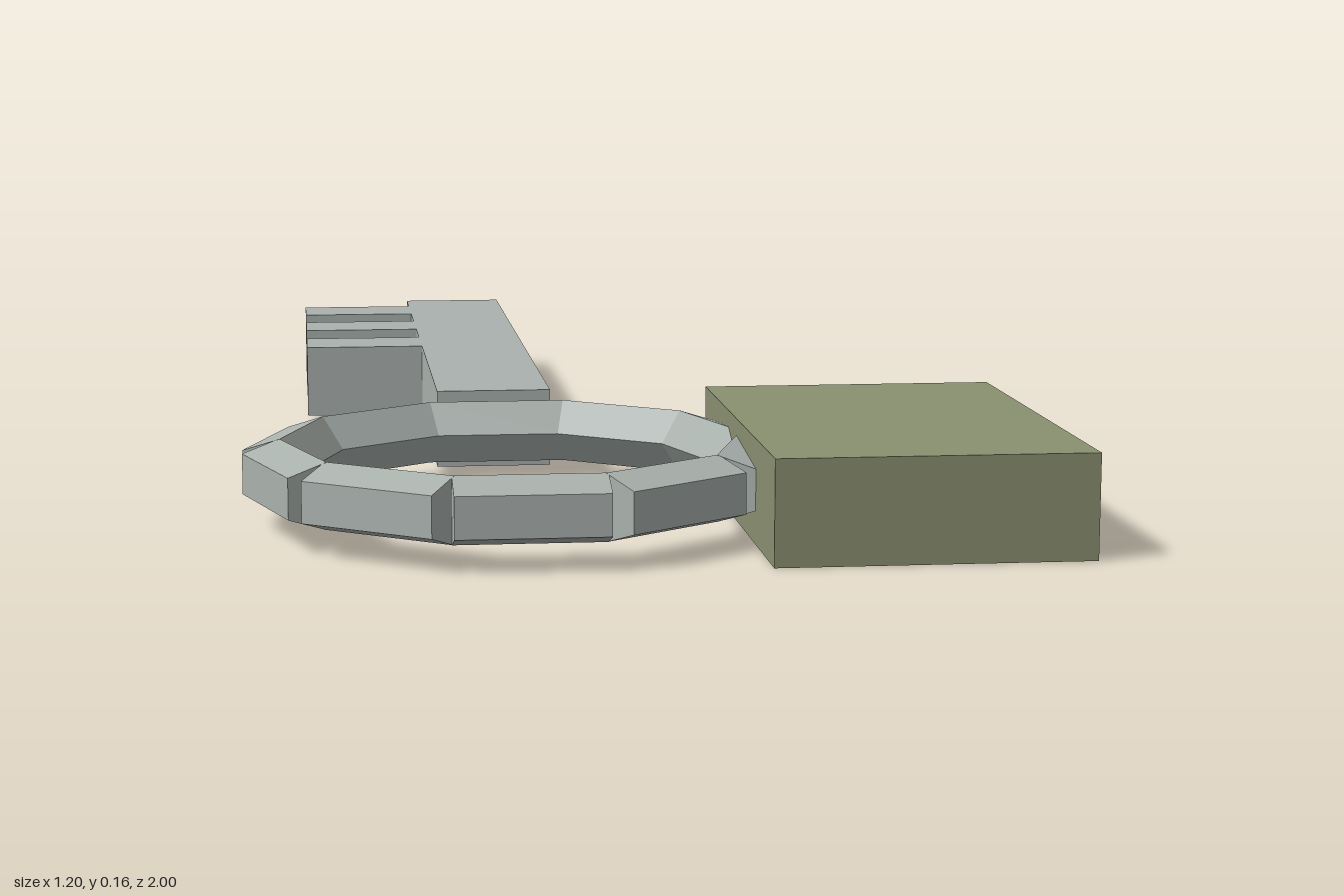
import * as THREE from 'three';

export function createModel() {
  const model = new THREE.Group();
  model.name = 'keyWithFob';
  const metal = new THREE.MeshStandardMaterial({ color: 0xaab2ae, flatShading: true });
  const olive = new THREE.MeshStandardMaterial({ color: 0x8a9070, flatShading: true });

  // Box given by its extents on each axis
  function block(name, material, [x0, x1], [y0, y1], [z0, z1], parent = model) {
    const mesh = new THREE.Mesh(new THREE.BoxGeometry(x1 - x0, y1 - y0, z1 - z0), material);
    mesh.position.set((x0 + x1) / 2, (y0 + y1) / 2, (z0 + z1) / 2);
    mesh.name = name;
    parent.add(mesh);
  }

  // Key: shaft and three teeth
  const key = new THREE.Group();
  key.name = 'key';
  model.add(key);
  const keyY = [0.017, 0.142];
  block('shaft', metal, [-0.295, -0.11], keyY, [-1, 0.245], key);
  for (const z of [-0.845, -0.607, -0.367]) {
    block('tooth', metal, [-0.503, -0.295], keyY, [z - 0.062, z + 0.062], key);
  }

  // Ring: ten straight five-sided rods, each with an edge pointing inwards
  const ring = new THREE.Group();
  ring.name = 'ring';
  ring.position.set(-0.2, 0.08, 0.61);
  const rod = new THREE.CylinderGeometry(0.052, 0.052, 0.22, 5);
  rod.rotateZ(-Math.PI / 2);
  rod.translate(0, 0, -0.348);
  for (let i = 0; i < 10; i++) {
    const link = new THREE.Mesh(rod, metal);
    link.rotation.y = (i * Math.PI) / 5;
    link.name = 'ringSegment';
    ring.add(link);
  }
  model.add(ring);

  // Fob hanging on the ring
  block('fob', olive, [0.136, 0.6], [0, 0.155], [0.325, 1]);

  return model;
}
